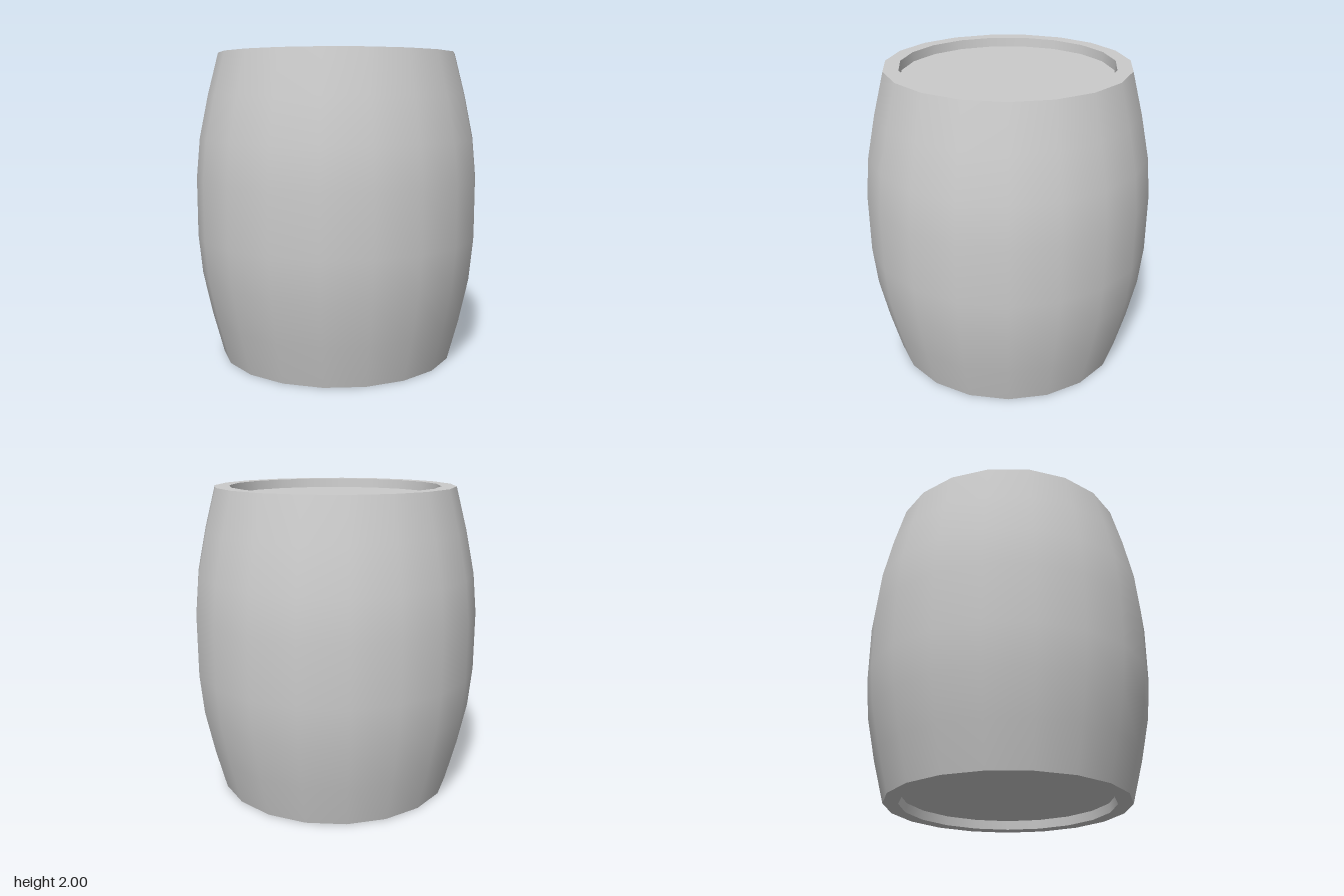
import * as THREE from 'three';

const SIDES = 19;

export function createModel() {
  const group = new THREE.Group();
  const material = new THREE.MeshStandardMaterial({ color: 0xcccccc });

  // Each band is its own lathe, so edges between bands stay sharp.
  // Profiles run from the bottom centre, around the outside, to the top centre.
  const addBand = (name, profile) => {
    const points = profile.map(([r, y]) => new THREE.Vector2(r, y));
    const mesh = new THREE.Mesh(new THREE.LatheGeometry(points, SIDES, Math.PI / 2), material);
    mesh.name = name;
    mesh.position.x = -0.006; // an odd number of sides is off-centre by this much
    group.add(mesh);
  };

  const rim = 0.776, inner = 0.68, head = 0.675, recess = 0.06;

  // Recessed bottom
  addBand('bottomHead', [[0, recess], [head, recess]]);
  addBand('bottomInnerWall', [[head, recess], [inner, 0]]);
  addBand('bottomRim', [[inner, 0], [rim, 0]]);

  // Bulging body, mirrored about its middle
  const lower = [[rim, 0], [0.847, 0.27], [0.906, 0.55], [0.931, 0.81]];
  const upper = lower.map(([r, y]) => [r, 2 - y]).reverse();
  addBand('body', [...lower, ...upper]);

  // Recessed top
  addBand('topRim', [[rim, 2], [inner, 2]]);
  addBand('topInnerWall', [[inner, 2], [head, 2 - recess]]);
  addBand('topHead', [[head, 2 - recess], [0, 2 - recess]]);

  return group;
}
